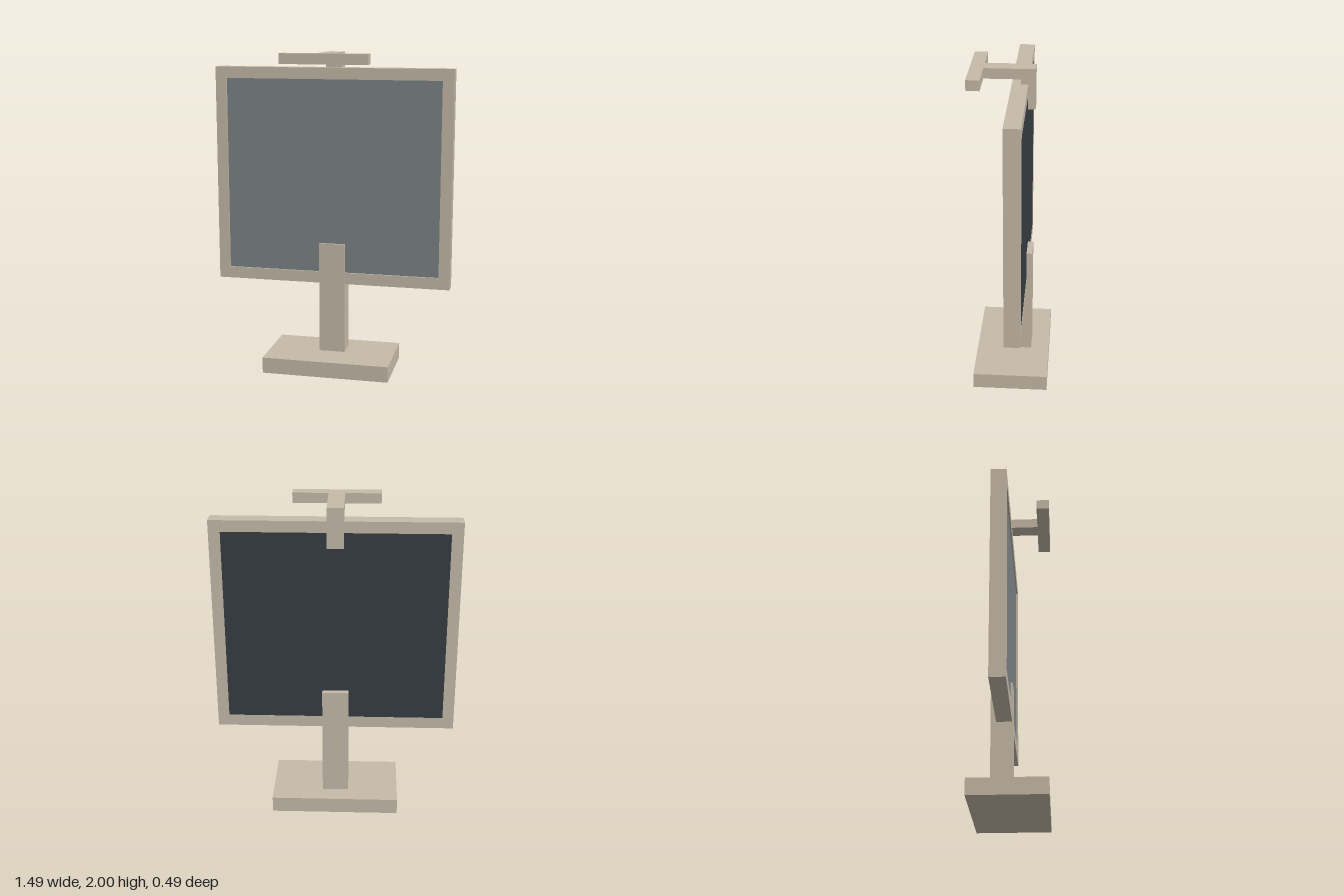
import * as THREE from 'three';

const mat = (name, color) => {
  const m = new THREE.MeshStandardMaterial({ color });
  m.name = name;
  return m;
};

export function createModel() {
  const group = new THREE.Group();
  const beige = mat('beige plastic', 0xc6bbA9);
  const glass = mat('grey screen', 0x7d8588);
  const dark = mat('dark back', 0x363d41);

  // Box given by its lower and upper limits on each axis
  const box = (name, material, [x0, x1], [y0, y1], [z0, z1]) => {
    const mesh = new THREE.Mesh(new THREE.BoxGeometry(x1 - x0, y1 - y0, z1 - z0), material);
    mesh.position.set((x0 + x1) / 2, (y0 + y1) / 2, (z0 + z1) / 2);
    mesh.name = name;
    group.add(mesh);
  };

  // Stand
  box('base', beige, [-0.4, 0.4], [0, 0.1], [-0.245, 0.22]);
  box('post', beige, [-0.082, 0.082], [0.1, 0.807], [-0.13, 0.004]);

  // Frame with a rectangular opening
  const rect = (path, x, y0, y1) =>
    path.moveTo(-x, y0).lineTo(x, y0).lineTo(x, y1).lineTo(-x, y1).closePath();
  const outline = new THREE.Shape();
  rect(outline, 0.745, 0.55, 1.906);
  const opening = new THREE.Path();
  rect(opening, 0.675, 0.623, 1.836);
  outline.holes.push(opening);
  const frame = new THREE.Mesh(
    new THREE.ExtrudeGeometry(outline, { depth: 0.096, bevelEnabled: false }), beige);
  frame.position.z = -0.096;
  frame.name = 'frame';
  group.add(frame);

  // Screen set into the front, dark panel closing the back
  box('screen', glass, [-0.675, 0.675], [0.623, 1.836], [-0.05, -0.01]);
  box('backPanel', dark, [-0.675, 0.675], [0.623, 1.836], [-0.095, -0.05]);

  // Overhead lamp: clip behind the frame, arm reaching forward, cross bar
  box('lampClip', beige, [-0.05, 0.05], [1.754, 1.937], [-0.14, -0.055]);
  box('lampArm', beige, [-0.05, 0.05], [1.937, 2], [-0.14, 0.165]);
  box('lampBar', beige, [-0.268, 0.268], [1.937, 2], [0.165, 0.245]);

  return group;
}
